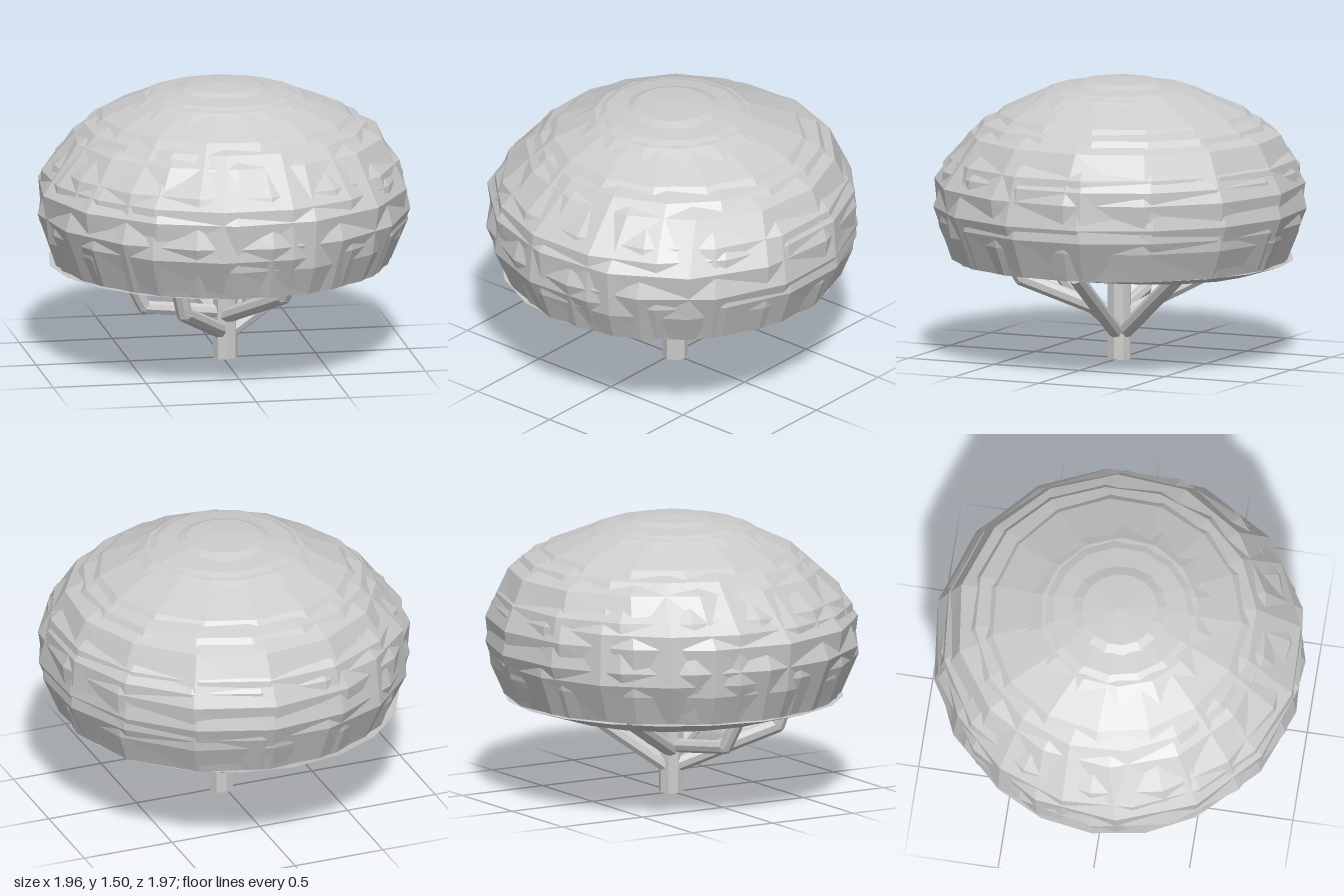
import * as THREE from 'three';

// Three interleaved dome profiles: [radius, height] from the rim to the crown
const SHELLS = [
  { sides: 15, turn: 0.1, profile: [[0.885, 0.535], [0.99, 0.82], [0.92, 1.08], [0.66, 1.32], [0.36, 1.45], [0, 1.5]] },
  { sides: 14, turn: 0.35, profile: [[0.89, 0.535], [0.955, 0.69], [0.985, 0.95], [0.825, 1.21], [0.42, 1.43], [0, 1.5]] },
  { sides: 16, turn: 0.22, profile: [[0.885, 0.54], [0.975, 0.75], [0.955, 1.02], [0.745, 1.27], [0.2, 1.485], [0, 1.5]] },
];

// Moves each vertex of a geometry by a rule
function reshape(geometry, rule) {
  const position = geometry.attributes.position;
  const v = new THREE.Vector3();
  for (let i = 0; i < position.count; i++) {
    v.fromBufferAttribute(position, i);
    rule(v);
    position.setXYZ(i, v.x, v.y, v.z);
  }
  geometry.computeVertexNormals();
  return geometry;
}

// Coarse faceted dome, slightly uneven and with a shoulder towards the back left
function createLeafShell({ sides, turn, profile }, material) {
  const points = profile.map(([r, y]) => new THREE.Vector2(r, y));
  const geometry = reshape(new THREE.LatheGeometry(points, sides, turn), (v) => {
    const angle = Math.atan2(v.z, v.x);
    const lump = 1 + 0.009 * Math.sin(3 * angle + turn * 20 + v.y * 5);
    const shoulder = Math.max(0, 1 - Math.abs(v.y - 1.22) / 0.22);
    v.x = v.x * lump + 0.03 * shoulder;
    v.z = v.z * lump - 0.04 * shoulder;
  });
  const mesh = new THREE.Mesh(geometry, material);
  mesh.name = 'leafShell';
  return mesh;
}

// Shallow dish closing the canopy from below, sagging to one side
function createUnderside(material) {
  const points = [[0, 0.49], [0.68, 0.485], [0.9, 0.535]].map(([r, y]) => new THREE.Vector2(r, y));
  const geometry = reshape(new THREE.LatheGeometry(points, 20), (v) => {
    if (v.y < 0.53) v.y += 0.025 * (v.x + v.z);
    v.x -= 0.025;
    v.z -= 0.01;
  });
  const mesh = new THREE.Mesh(geometry, material);
  mesh.name = 'canopyUnderside';
  return mesh;
}

// Straight round segments joined end to end
function createLimb(name, points, radius, material) {
  const group = new THREE.Group();
  group.name = name;
  const up = new THREE.Vector3(0, 1, 0);
  for (let i = 0; i < points.length - 1; i++) {
    const a = new THREE.Vector3(...points[i]);
    const b = new THREE.Vector3(...points[i + 1]);
    const dir = b.clone().sub(a);
    const mesh = new THREE.Mesh(
      new THREE.CylinderGeometry(radius, radius, dir.length(), 8), material);
    mesh.position.copy(a).add(b).multiplyScalar(0.5);
    mesh.quaternion.setFromUnitVectors(up, dir.normalize());
    mesh.name = name + 'Segment';
    group.add(mesh);
    // Elbow filling the joint
    if (i > 0) {
      const joint = new THREE.Mesh(new THREE.SphereGeometry(radius, 8, 6), material);
      joint.position.copy(a);
      joint.name = name + 'Elbow';
      group.add(joint);
    }
  }
  return group;
}

export function createModel() {
  const model = new THREE.Group();
  model.name = 'tree';
  const wood = new THREE.MeshStandardMaterial({ color: 0xcccccc, flatShading: true });
  const leaves = new THREE.MeshStandardMaterial({
    color: 0xcccccc, flatShading: true, side: THREE.DoubleSide });

  const canopy = new THREE.Group();
  canopy.name = 'canopy';
  for (const shell of SHELLS) canopy.add(createLeafShell(shell, leaves));
  canopy.add(createUnderside(leaves));
  model.add(canopy);
  model.add(createLimb('trunk', [[0.015, 0, 0], [0.015, 0.51, 0]], 0.066, wood));

  // Six branches fan out around the trunk; three of them bend upwards
  const branches = [
    ['leftBranch', [[0, 0.11, 0], [0.55, 0.505, 0]], 0.04],
    ['frontLeftBranch', [[0, 0.22, 0], [0.245, 0.43, 0.46], [0.27, 0.52, 0.51]], 0.042],
    ['frontRightBranch', [[0, 0.14, 0], [-0.29, 0.36, 0.47], [-0.33, 0.52, 0.51]], 0.042],
    ['rightBranch', [[0, 0.25, 0], [-0.43, 0.305, 0.06], [-0.53, 0.5, 0.1]], 0.036],
    ['backRightBranch', [[0, 0.22, 0], [-0.31, 0.5, -0.49]], 0.04],
    ['backLeftBranch', [[0, 0.12, 0], [0.28, 0.5, -0.47]], 0.042],
  ];
  for (const [name, points, radius] of branches) {
    model.add(createLimb(name, points, radius, wood));
  }
  return model;
}
